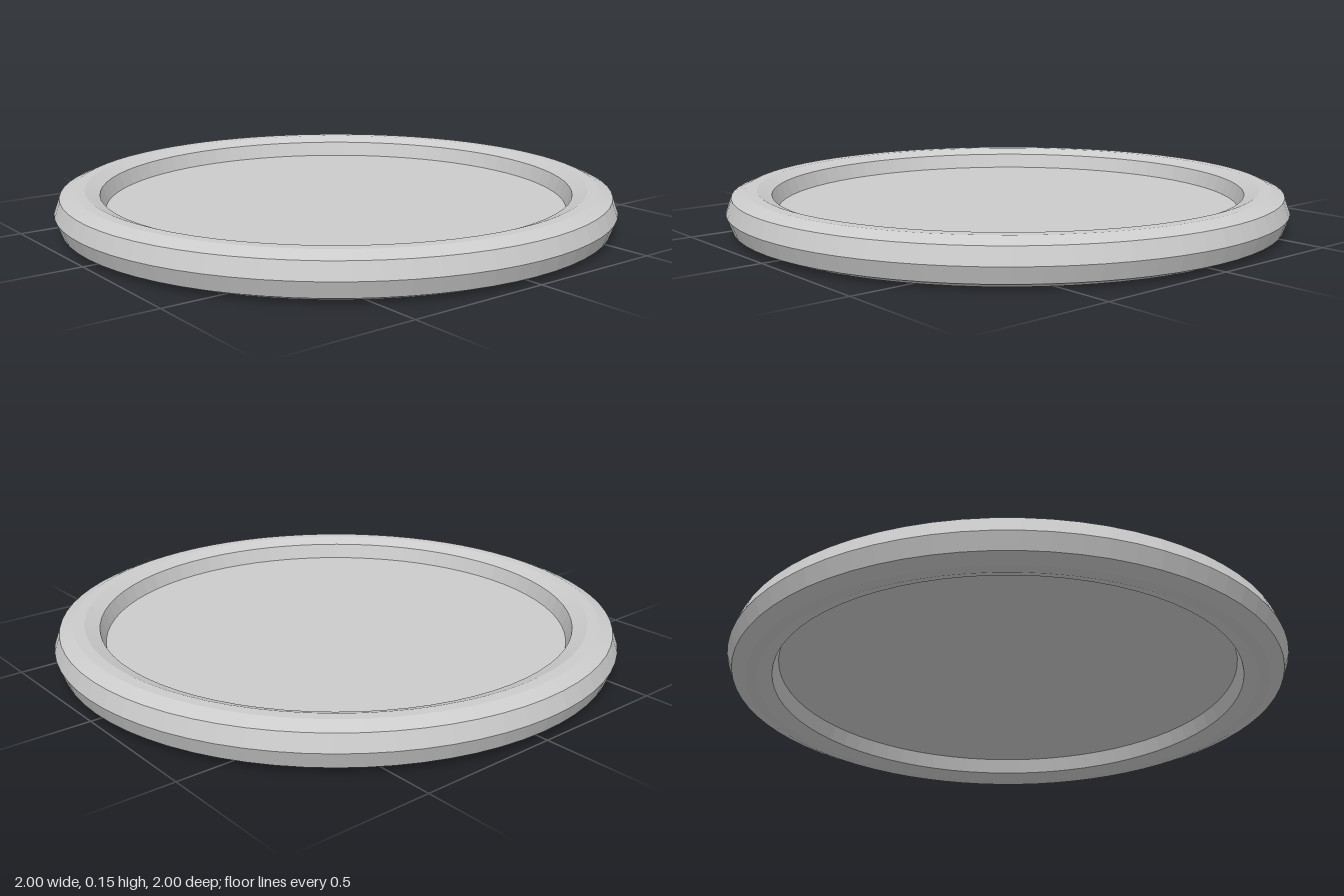
import * as THREE from 'three';

const SEGMENTS = 72;
const MID = 0.075; // height of the rim's widest ring and of the panel

export function createModel() {
  const group = new THREE.Group();
  group.name = 'roundTray';

  // rim: ten-sided section, listed counter-clockwise from the outer edge
  const upper = [[1, 0], [0.98, 0.055], [0.932, 0.075], [0.893, 0.075], [0.842, 0.055], [0.824, 0]];
  const lower = upper.slice(1, -1).reverse().map(([r, y]) => [r, -y]);
  const section = [...upper, ...lower, upper[0]].map(([r, y]) => new THREE.Vector2(r, y + MID));
  const rim = new THREE.Mesh(
    new THREE.LatheGeometry(section.reverse(), SEGMENTS),
    new THREE.MeshStandardMaterial({ color: 0xcccccc, flatShading: true, side: THREE.DoubleSide })
  );
  rim.name = 'rim';
  group.add(rim);

  // thin flat panel closing the ring at mid height
  const panel = new THREE.Mesh(
    new THREE.CircleGeometry(0.826, SEGMENTS).rotateX(-Math.PI / 2),
    new THREE.MeshStandardMaterial({ color: 0xcccccc, side: THREE.DoubleSide })
  );
  panel.name = 'panel';
  panel.position.y = MID;
  group.add(panel);

  return group;
}
